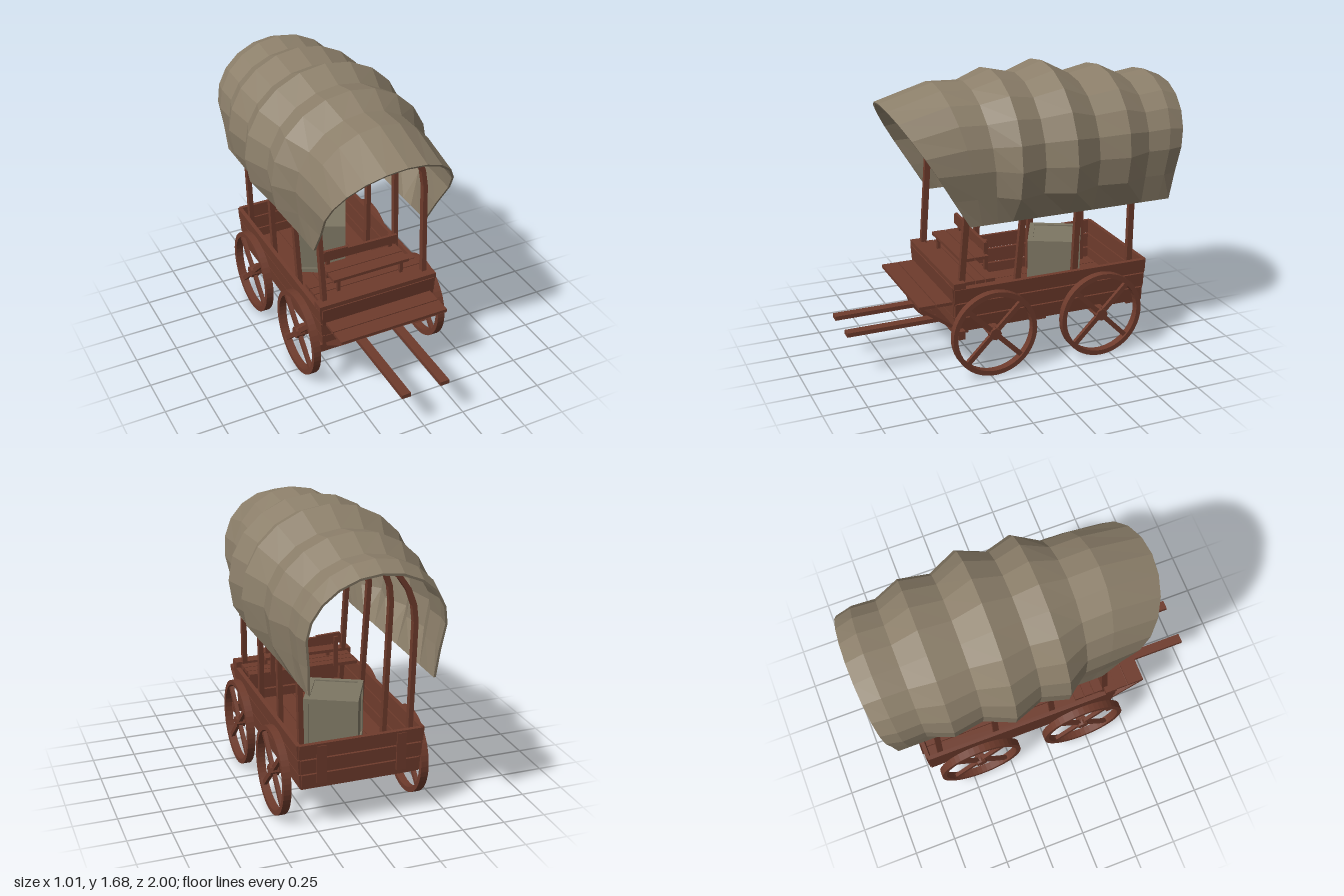
import * as THREE from 'three';

const mat = (name, color) => {
  const m = new THREE.MeshStandardMaterial({ color, flatShading: true });
  m.name = name;
  return m;
};

export function createModel() {
  const wood = mat('brown wood', 0x6e3b2c);
  const canvas = mat('tan canvas', 0x8c7f6a);
  const crateWood = mat('grey crate wood', 0x7d7663);
  const model = new THREE.Group();
  model.name = 'coveredWagon';

  const add = (name, geo, material, parent = model) => {
    const m = new THREE.Mesh(geo, material);
    m.name = name;
    parent.add(m);
    return m;
  };
  const box = (name, w, h, d, x, y, z, material = wood, parent = model) => {
    const m = add(name, new THREE.BoxGeometry(w, h, d), material, parent);
    m.position.set(x, y, z);
    return m;
  };

  // Wheels: rim, hub and four diagonal spokes
  const rimShape = new THREE.Shape().absarc(0, 0, 0.253, 0, Math.PI * 2);
  rimShape.holes.push(new THREE.Path().absarc(0, 0, 0.225, 0, Math.PI * 2, true));
  const rimGeo = new THREE.ExtrudeGeometry(rimShape, { depth: 0.045, bevelEnabled: false, curveSegments: 24 });
  rimGeo.translate(0, 0, -0.0225);
  for (const z of [0.222, -0.442]) {
    for (const s of [-1, 1]) {
      const wheel = new THREE.Group();
      wheel.name = 'wheel';
      add('rim', rimGeo, wood, wheel);
      add('hub', new THREE.CylinderGeometry(0.035, 0.035, 0.05, 8).rotateX(Math.PI / 2), wood, wheel);
      for (const a of [1, -1]) {
        box('spoke', 0.46, 0.028, 0.022, 0, 0, 0, wood, wheel).rotation.z = a * Math.PI / 4;
      }
      wheel.rotation.y = Math.PI / 2;
      wheel.position.set(s * 0.403, 0.254, z);
      model.add(wheel);
    }
    box('axle', 0.8, 0.05, 0.05, 0, 0.263, z);
  }

  // Floor boards, cross bearers and draw shafts
  for (let i = 0; i < 6; i++) {
    box('floorBoard', 0.106, 0.02, 1.15, -0.275 + i * 0.11, 0.286, -0.15);
  }
  for (const z of [0.38, -0.1, -0.68]) box('crossBearer', 0.66, 0.03, 0.06, 0, 0.265, z);
  box('frontBeam', 0.78, 0.05, 0.04, 0, 0.265, 0.41);
  for (const s of [-1, 1]) box('drawShaft', 0.055, 0.025, 0.9, s * 0.12, 0.268, 0.55);

  // Three slightly flared planks on each wall
  for (let i = 0; i < 3; i++) {
    const y = 0.312 + i * 0.09;
    const out = i * 0.008;
    for (const s of [-1, 1]) {
      box('sidePlank', 0.024, 0.082, 1.17 + out, s * (0.338 + out), y, -0.152).rotation.z = -s * 0.07;
    }
    box('tailPlank', 0.68 + out * 2, 0.082, 0.024, 0, y, -0.733 - out / 2).rotation.x = -0.05;
    box('frontPlank', 0.66 + out * 2, 0.082, 0.024, 0, y, 0.425 + out / 2);
  }
  for (const s of [-1, 1]) box('tailBatten', 0.055, 0.22, 0.015, s * 0.23, 0.41, -0.752);

  // Front deck with a wide lip board
  box('deckLip', 0.74, 0.035, 0.07, 0, 0.553, 0.412);
  box('deckFace', 0.71, 0.11, 0.02, 0, 0.49, 0.438).rotation.x = 0.08;
  for (const z of [0.34, 0.28, 0.22]) box('deckBoard', 0.68, 0.02, 0.055, 0, 0.55, z);

  // Footrest: shelf, sloping underside and brackets
  for (const z of [0.49, 0.592]) box('footShelf', 0.67, 0.018, 0.096, 0, 0.444, z);
  for (const t of [0.25, 0.75]) {
    box('slopingBoard', 0.67, 0.018, 0.112, 0, 0.305 + t * 0.13, 0.45 + t * 0.18).rotation.x = -0.63;
  }
  box('footBracket', 0.06, 0.02, 0.15, 0.2, 0.337, 0.522).rotation.x = -0.63;

  // Driver's bench
  for (const z of [0.315, 0.23]) box('seatBoard', 0.48, 0.018, 0.08, 0, 0.645, z);
  for (const s of [-1, 1]) {
    box('benchPost', 0.025, 0.19, 0.02, s * 0.2, 0.64, 0.192);
    box('benchLeg', 0.02, 0.09, 0.02, s * 0.2, 0.6, 0.33);
  }
  box('backrest', 0.475, 0.055, 0.018, 0, 0.712, 0.206).rotation.z = -0.02;
  box('backrestTop', 0.15, 0.02, 0.018, -0.155, 0.742, 0.206).rotation.z = -0.04;

  // Turned crate with raised edge trim
  const crate = new THREE.Group();
  crate.name = 'crate';
  crate.position.set(0.005, 0.465, -0.33);
  crate.rotation.y = -0.47;
  box('crateBody', 0.285, 0.325, 0.285, 0, 0, 0, crateWood, crate);
  for (const a of [-1, 1]) {
    for (const b of [-1, 1]) {
      box('crateCorner', 0.03, 0.34, 0.03, a * 0.138, 0, b * 0.138, crateWood, crate);
      box('crateRailX', 0.25, 0.03, 0.03, 0, a * 0.155, b * 0.138, crateWood, crate);
      box('crateRailZ', 0.03, 0.03, 0.25, b * 0.138, a * 0.155, 0, crateWood, crate);
    }
  }
  model.add(crate);

  // Bent hoops: an arch band extruded, then leaned along z
  const arch = (inset) => {
    const pts = [new THREE.Vector2(0.325 - inset, 0.29)];
    for (let i = 0; i <= 12; i++) {
      const a = (i / 12) * Math.PI;
      pts.push(new THREE.Vector2((0.344 - inset) * Math.cos(a), 1.12 + (0.385 - inset) * Math.sin(a)));
    }
    pts.push(new THREE.Vector2(inset - 0.325, 0.29));
    return pts;
  };
  const hoopShape = new THREE.Shape([...arch(0), ...arch(0.028).reverse()]);
  for (const [z, lean] of [[0.357, -0.08], [0.018, -0.08], [-0.32, -0.03], [-0.66, 0]]) {
    const geo = new THREE.ExtrudeGeometry(hoopShape, { depth: 0.034, bevelEnabled: false });
    const p = geo.attributes.position;
    for (let i = 0; i < p.count; i++) p.setZ(i, p.getZ(i) - 0.017 + z + lean * (p.getY(i) - 0.9));
    geo.computeVertexNormals();
    add('hoop', geo, wood);
  }

  // Canvas cover: horseshoe sections [z at top, z at hem, top height, half width]
  const rings = [
    [0.73, 0.34, 1.53, 0.38], [0.42, 0.27, 1.62, 0.39], [0.24, 0.18, 1.61, 0.395],
    [0.08, 0.09, 1.665, 0.485], [-0.07, -0.07, 1.63, 0.44], [-0.235, -0.235, 1.685, 0.505],
    [-0.405, -0.4, 1.595, 0.43], [-0.59, -0.57, 1.63, 0.46], [-0.74, -0.71, 1.555, 0.4],
    [-0.89, -0.82, 1.575, 0.405], [-0.995, -0.89, 1.53, 0.385],
  ];
  const section = (top, w, inset) => {
    const half = [];
    for (let i = 0; i <= 5; i++) {
      const a = (i / 5) * Math.PI / 2;
      half.push([(w - inset) * Math.sin(a), 1.2 + (top - inset - 1.2) * Math.cos(a)]);
    }
    half.push([w * 0.95 - inset, 1.045], [0.355 - inset, 0.885]);
    return [...half.slice(1).reverse(), ...half.map(([x, y]) => [-x, y])];
  };
  const pos = [];
  const idx = [];
  const K = 30;
  for (const [zt, zb, top, w] of rings) {
    for (const [x, y] of [...section(top, w, 0), ...section(top, w, 0.013).reverse()]) {
      pos.push(x, y, zb + (zt - zb) * (y - 0.885) / (top - 0.885));
    }
  }
  for (let i = 0; i < rings.length - 1; i++) {
    for (let k = 0; k < K; k++) {
      const a = i * K + k, b = i * K + (k + 1) % K;
      idx.push(a, a + K, b, b, a + K, b + K);
    }
  }
  const end = (rings.length - 1) * K;
  for (let j = 0; j < K / 2 - 1; j++) {
    const a = j, b = j + 1, c = K - 2 - j, d = K - 1 - j;
    idx.push(a, b, c, a, c, d);
    idx.push(end + a, end + c, end + b, end + a, end + d, end + c);
  }
  let cover = new THREE.BufferGeometry();
  cover.setAttribute('position', new THREE.Float32BufferAttribute(pos, 3));
  cover.setIndex(idx);
  cover = cover.toNonIndexed();
  cover.computeVertexNormals();
  add('canvasCover', cover, canvas);

  return model;
}
